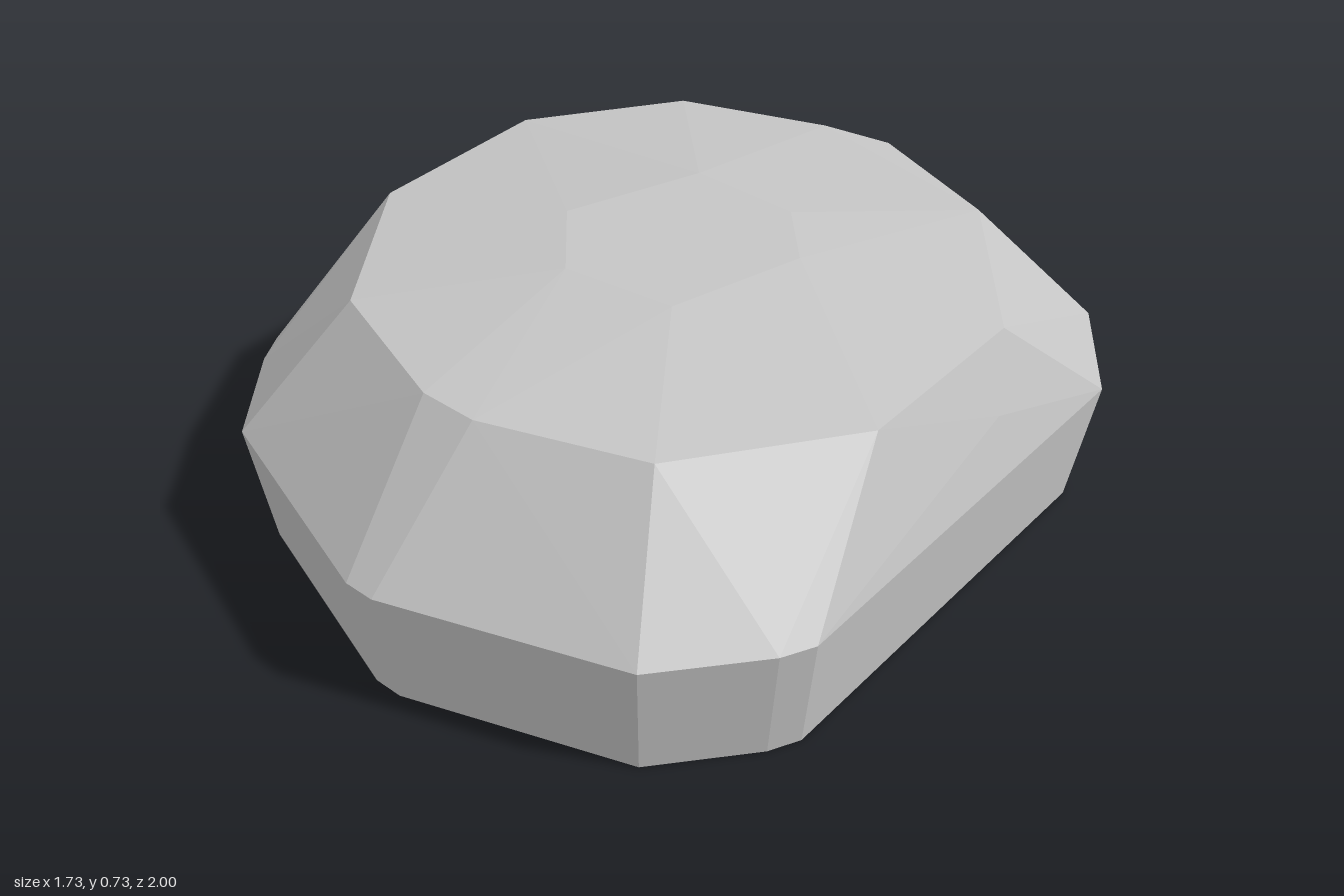
import * as THREE from 'three';
import { ConvexGeometry } from 'three/addons/geometries/ConvexGeometry.js';

// Horizontal outlines of the boulder as [x, z] corners
const girdle = [
  [-0.04, 1], [0.04, 1], [0.625, 0.8], [0.82, 0.57], [0.86, 0.49], [0.86, -0.69], [0.665, -0.96],
  [0.55, -1], [-0.55, -1], [-0.67, -0.96], [-0.865, -0.69], [-0.865, 0.49], [-0.82, 0.57], [-0.63, 0.8],
];
const shoulder = [
  [-0.08, 0.695], [0.07, 0.695], [0.465, 0.555], [0.755, 0.16], [0.755, -0.34], [0.43, -0.74],
  [-0.12, -0.84], [-0.5, -0.7], [-0.755, -0.34], [-0.755, 0.16], [-0.47, 0.555],
];
const crown = [[0.14, -0.34], [-0.15, -0.34], [-0.28, 0.01], [-0.11, 0.2], [0.18, 0.16], [0.28, -0.19]];

// Lift an outline to a height, optionally tapered
const ring = (outline, y, scale = 1) =>
  outline.map(([x, z]) => new THREE.Vector3(x * scale, y, z * scale));

export function createModel() {
  const group = new THREE.Group();
  group.name = 'boulder';

  const stone = new THREE.MeshStandardMaterial({ color: 0xc5c5c5 });
  stone.name = 'light grey stone';

  // Chiselled stone: the facets span the stacked outlines
  const corners = [
    ...ring(girdle, 0, 0.95),
    ...ring(girdle, 0.335),
    ...ring(shoulder, 0.66),
    ...ring(crown, 0.725),
    new THREE.Vector3(0.04, 0.635, -0.91), // chipped back corner
    new THREE.Vector3(0.82, 0.49, -0.25), // slight bulge on each flank
    new THREE.Vector3(-0.82, 0.49, -0.25),
  ];
  const rock = new THREE.Mesh(new ConvexGeometry(corners), stone);
  rock.name = 'rock';
  group.add(rock);

  return group;
}
